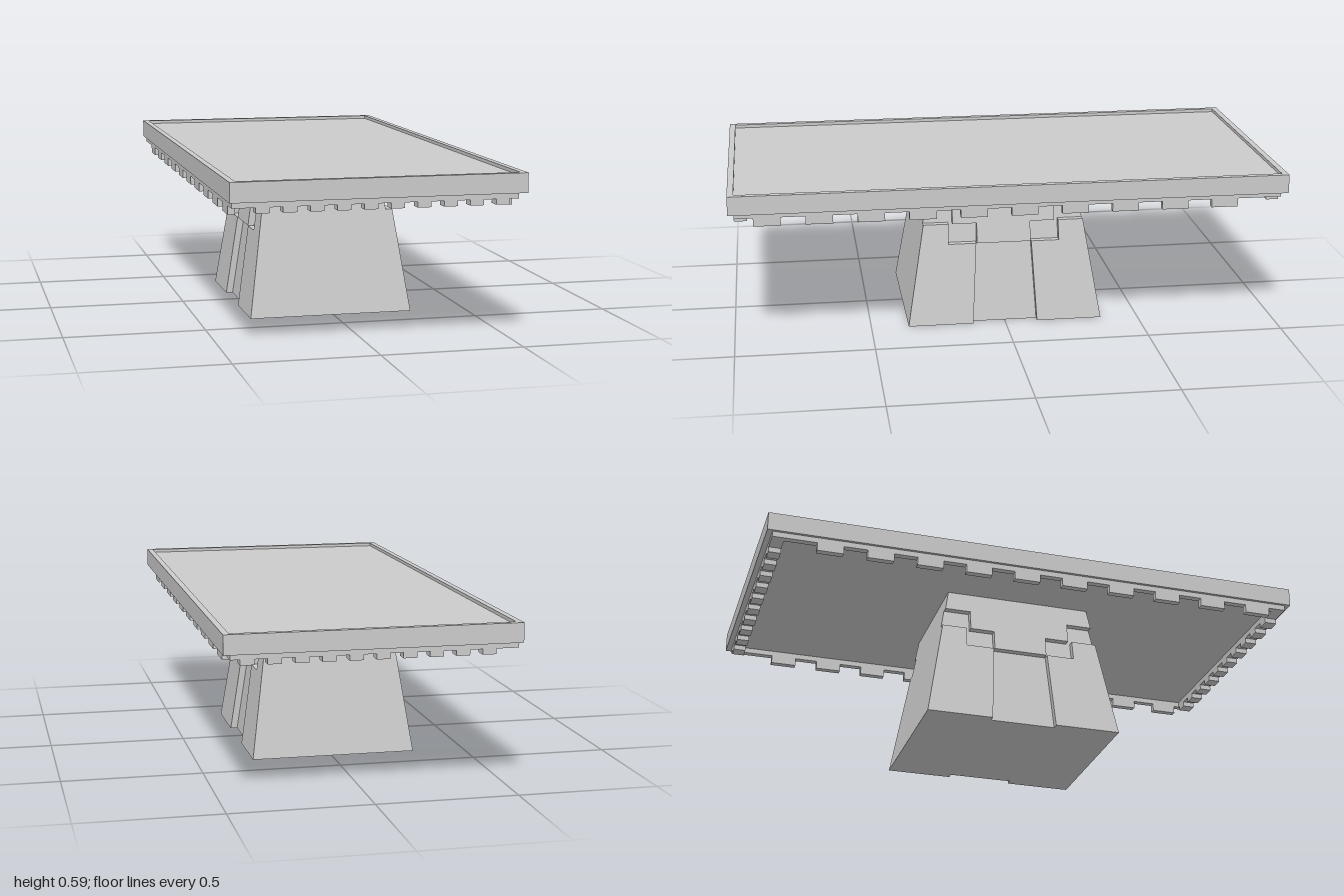
import * as THREE from 'three';

const material = new THREE.MeshStandardMaterial({ color: 0xcccccc, flatShading: true });

const BASE_TOP = 0.525;
const RELIEF = 0.025; // depth of the stepped recess on the base sides
const CENTER_X = -0.0075;
const halfX = (y) => 0.302 - 0.146 * y; // tapering half width of the base
const halfZ = (y) => 0.362 - 0.17 * y; // tapering half depth of the base

function add(parent, name, geometry, x = 0, y = 0, z = 0) {
  const mesh = new THREE.Mesh(geometry, material);
  mesh.name = name;
  mesh.position.set(x, y, z);
  parent.add(mesh);
  return mesh;
}

function moveVertices(geometry, rule) {
  const p = geometry.attributes.position;
  for (let i = 0; i < p.count; i++) p.setXYZ(i, ...rule(p.getX(i), p.getY(i), p.getZ(i)));
  geometry.computeVertexNormals();
  return geometry;
}

// Rectangular ring lying flat, rising from y = 0
function ring(hx, hz, wallX, wallZ, height) {
  const corners = (a, b) => [[-a, -b], [a, -b], [a, b], [-a, b]].map((c) => new THREE.Vector2(...c));
  const shape = new THREE.Shape(corners(hx, hz));
  shape.holes.push(new THREE.Path(corners(hx - wallX, hz - wallZ).reverse()));
  return new THREE.ExtrudeGeometry(shape, { depth: height, bevelEnabled: false }).rotateX(-Math.PI / 2);
}

// Stone slab with a (z, y) outline, leaning along the sloping base side
function facing(points) {
  const shape = new THREE.Shape(points.map((p) => new THREE.Vector2(...p)));
  const geometry = new THREE.ExtrudeGeometry(shape, { depth: RELIEF, bevelEnabled: false });
  geometry.rotateY(Math.PI / 2);
  return moveVertices(geometry, (x, y, z) => [x + halfX(y) - RELIEF, y, z]);
}

const mirrorOutline = (points) => points.map(([z, y]) => [-z, y]).reverse();

function createTop() {
  const top = new THREE.Group();
  top.name = 'tableTop';
  add(top, 'topRim', ring(0.505, 1, 0.022, 0.022, 0.068), 0, 0.525, 0);
  add(top, 'topPanel', new THREE.BoxGeometry(0.966, 0.056, 1.96), 0, 0.553, 0);
  return top;
}

function createApron() {
  const apron = new THREE.Group();
  apron.name = 'apron';
  apron.position.x = CENTER_X;
  add(apron, 'apronFrame', ring(0.4875, 0.98, 0.024, 0.045, 0.02), 0, 0.505, 0);

  // Square teeth along the long sides and the ends
  const sideTooth = new THREE.BoxGeometry(0.024, 0.03, 0.096);
  const endTooth = new THREE.BoxGeometry(0.047, 0.019, 0.045);
  for (const s of [-1, 1]) {
    for (let i = 0; i < 10; i++) {
      add(apron, 'sideTooth', sideTooth, s * 0.4755, 0.49, 0.866 - i * 0.182);
      add(apron, 'endTooth', endTooth, -0.385 + i * 0.0907, 0.4955, s * 0.9575);
    }
  }
  return apron;
}

function createBase() {
  const base = new THREE.Group();
  base.name = 'base';
  base.position.x = CENTER_X;

  // Tapered core, set back on the two side faces
  const core = new THREE.BoxGeometry(2, BASE_TOP, 2).translate(0, BASE_TOP / 2, 0);
  add(base, 'baseCore', moveVertices(core, (x, y, z) => [x * (halfX(y) - RELIEF), y, z * halfZ(y)]));

  // Stepped foot stones and the corbelled stone above them
  const foot = [
    [0.12, 0], [halfZ(0), 0], [halfZ(0.375), 0.375],
    [0.205, 0.375], [0.207, 0.3], [0.103, 0.3],
  ];
  const halfCorbel = [
    [0.1, 0.3], [0.1, 0.375], [0.19, 0.375], [0.19, 0.45],
    [halfZ(0.45), 0.45], [halfZ(BASE_TOP), BASE_TOP],
  ];
  const footGeometries = [facing(foot), facing(mirrorOutline(foot))];
  const corbelGeometry = facing([...halfCorbel, ...mirrorOutline(halfCorbel)]);
  for (const turn of [0, Math.PI]) {
    const side = new THREE.Group();
    side.name = 'baseSide';
    side.rotation.y = turn;
    for (const g of footGeometries) add(side, 'footStone', g);
    add(side, 'corbelStone', corbelGeometry);
    base.add(side);
  }
  return base;
}

export function createModel() {
  const model = new THREE.Group();
  model.name = 'pedestalTable';
  model.add(createTop(), createApron(), createBase());
  return model;
}
